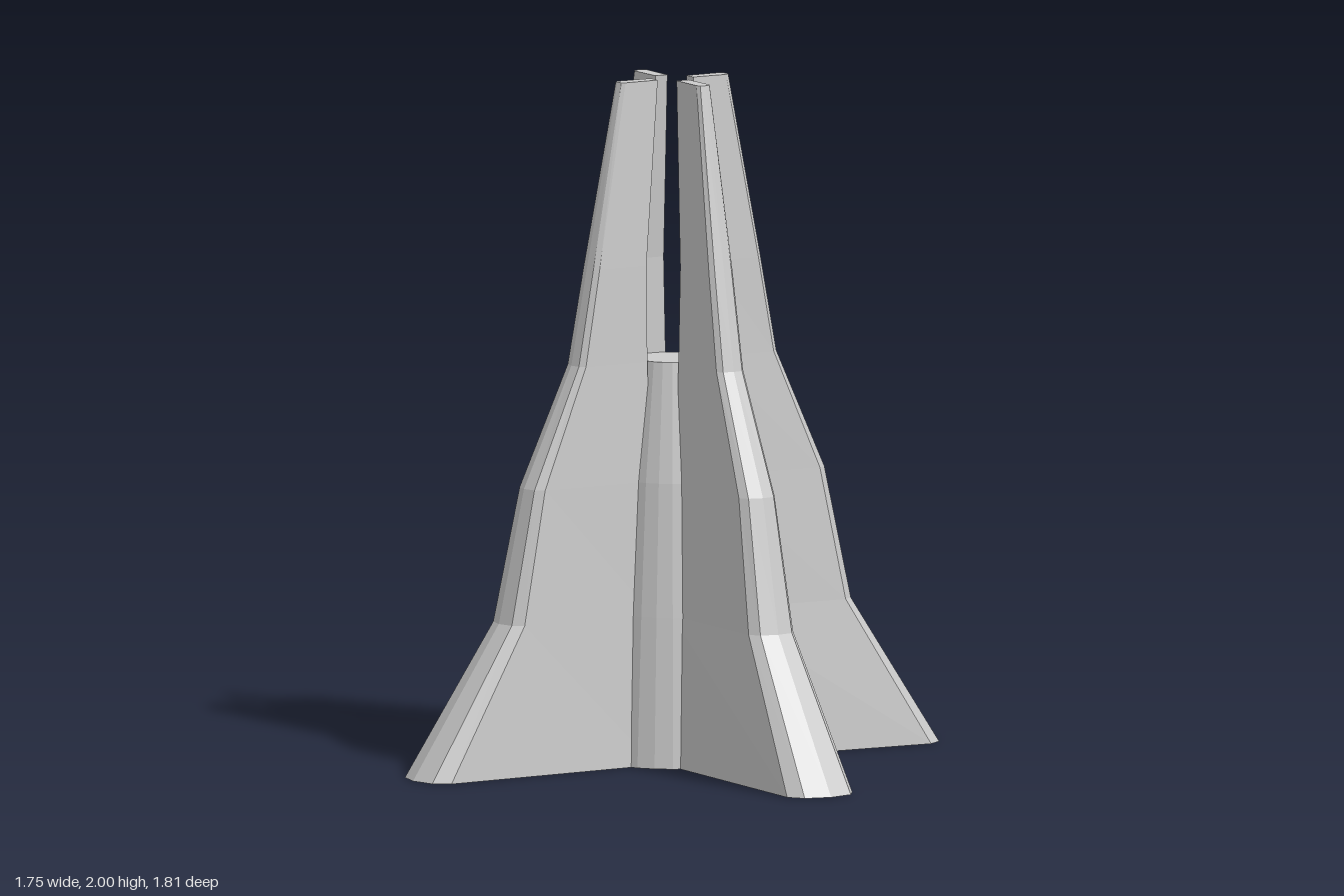
import * as THREE from 'three';

// Fin levels: height, outer reach, cap depth, half width at cap, inner radius, half width at inner edge
const LEVELS = [
  [0.00, 0.875, 0.065, 0.110, 0.105, 0.078],
  [0.44, 0.585, 0.043, 0.075, 0.105, 0.062],
  [0.83, 0.500, 0.036, 0.060, 0.105, 0.052],
  [1.18, 0.340, 0.023, 0.045, 0.108, 0.042],
  [1.46, 0.288, 0.020, 0.040, 0.108, 0.036],
  [2.00, 0.185, 0.015, 0.022, 0.060, 0.020],
];
const CAP_STEPS = 4;

// Horizontal section of a fin pointing along +x: two inner corners, then the rounded outer cap
function finSection([y, reach, depth, half, inner, innerHalf], stretch) {
  const points = [[inner, y, -innerHalf]];
  for (let i = 0; i <= CAP_STEPS; i++) {
    const a = -Math.PI / 2 + (Math.PI * i) / CAP_STEPS;
    points.push([reach * stretch - depth + depth * Math.cos(a), y, half * Math.sin(a)]);
  }
  points.push([inner, y, innerHalf]);
  return points;
}

// Skin the sections together and close the top and bottom
function finGeometry(stretch) {
  const rings = LEVELS.map((level) => finSection(level, stretch));
  const n = rings[0].length;
  const positions = [];
  const tri = (a, b, c) => positions.push(...a, ...b, ...c);
  for (let k = 0; k < rings.length - 1; k++) {
    for (let i = 0; i < n; i++) {
      const j = (i + 1) % n;
      const [a, b, c, d] = [rings[k][i], rings[k][j], rings[k + 1][j], rings[k + 1][i]];
      tri(a, c, b);
      tri(a, d, c);
    }
  }
  const bottom = rings[0];
  const top = rings[rings.length - 1];
  for (let i = 1; i < n - 1; i++) {
    tri(bottom[0], bottom[i], bottom[i + 1]);
    tri(top[0], top[i + 1], top[i]);
  }
  const geometry = new THREE.BufferGeometry();
  geometry.setAttribute('position', new THREE.Float32BufferAttribute(positions, 3));
  geometry.computeVertexNormals();
  return geometry;
}

export function createModel() {
  const group = new THREE.Group();
  const material = new THREE.MeshStandardMaterial({ color: 0xcccccc, flatShading: true });

  // Central tapering column
  const profile = [[0, 0], [0.205, 0], [0.182, 0.44], [0.155, 0.83], [0.108, 1.18], [0, 1.18]];
  const core = new THREE.Mesh(
    new THREE.LatheGeometry(profile.map(([x, y]) => new THREE.Vector2(x, y)), 24),
    material
  );
  core.name = 'core';
  group.add(core);

  // Four fins; the front and back pair reaches slightly further
  const sideFin = finGeometry(1);
  const longFin = finGeometry(1.035);
  ['leftFin', 'backFin', 'rightFin', 'frontFin'].forEach((name, i) => {
    const fin = new THREE.Mesh(i % 2 ? longFin : sideFin, material);
    fin.name = name;
    fin.rotation.y = (i * Math.PI) / 2;
    group.add(fin);
  });
  return group;
}
